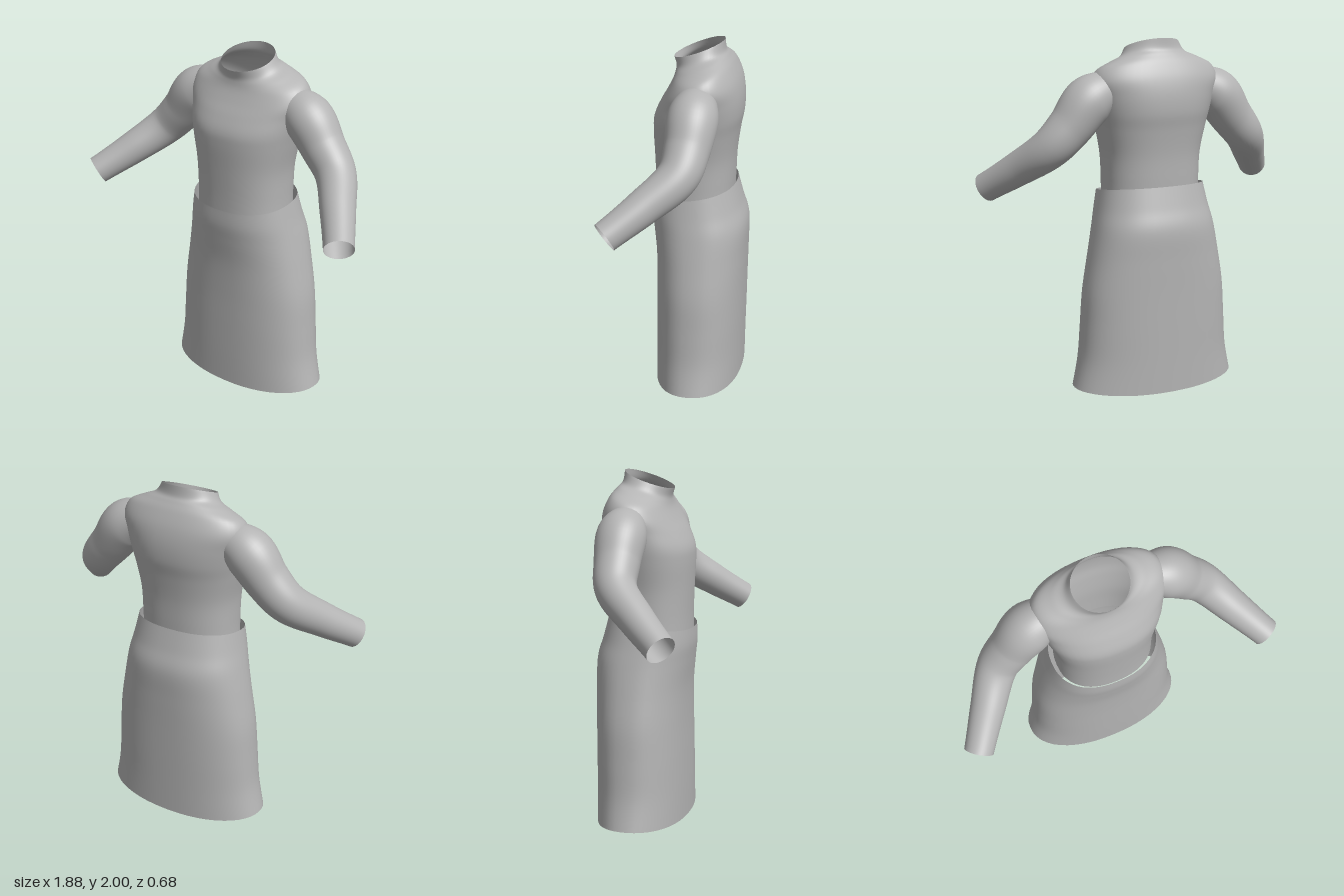
import * as THREE from 'three';

const SIDES = 48;

// Smooth interpolation of every column in a table of section values
function sample(rows, t) {
  const f = t * (rows.length - 1);
  const i = Math.min(Math.floor(f), rows.length - 2);
  const u = f - i;
  const at = (k) => rows[Math.max(0, Math.min(rows.length - 1, k))];
  return rows[i].map((_, c) => {
    const [a, b, d, e] = [at(i - 1)[c], at(i)[c], at(i + 1)[c], at(i + 2)[c]];
    return b + 0.5 * u * (d - a + u * (2 * a - 5 * b + 4 * d - e + u * (3 * (b - d) + e - a)));
  });
}

// Open tube surface from rings; point(t, angle) gives a Vector3
function loft(steps, point) {
  const pos = [], index = [];
  for (let i = 0; i <= steps; i++) {
    for (let j = 0; j < SIDES; j++) {
      pos.push(...point(i / steps, (j / SIDES) * Math.PI * 2).toArray());
      if (i === steps) continue;
      const a = i * SIDES + j, b = i * SIDES + ((j + 1) % SIDES);
      index.push(a, a + SIDES, b, b, a + SIDES, b + SIDES);
    }
  }
  const g = new THREE.BufferGeometry();
  g.setAttribute('position', new THREE.Float32BufferAttribute(pos, 3));
  g.setIndex(index);
  g.computeVertexNormals();
  return g;
}

// Body sections: [front y, front z, back y, back z, half width, roundness, side lift]
function bodyLoft(rows, steps) {
  return loft(steps, (t, a) => {
    const [yF, zF, yB, zB, w, n, lift] = sample(rows, t);
    const c = Math.cos(a), s = Math.sin(a);
    const px = Math.sign(c) * Math.pow(Math.abs(c), 2 / n);
    const pz = Math.sign(s) * Math.pow(Math.abs(s), 2 / n);
    const k = (pz + 1) / 2;
    return new THREE.Vector3(w * px, yB + (yF - yB) * k + lift * px * px, zB + (zF - zB) * k);
  });
}

export function createModel() {
  const group = new THREE.Group();
  const cloth = new THREE.MeshStandardMaterial({ color: 0xb4b4b4, side: THREE.DoubleSide });
  cloth.name = 'grey cloth';
  const add = (name, geometry) => {
    const mesh = new THREE.Mesh(geometry, cloth);
    mesh.name = name;
    group.add(mesh);
  };

  // Skirt, hem to waistband
  add('skirt', bodyLoft([
    [0.005, 0.18, 0.01, -0.315, 0.49, 2.2, 0.025],
    [0.19, 0.18, 0.19, -0.318, 0.455, 2.25, 0.01],
    [0.39, 0.178, 0.39, -0.322, 0.438, 2.3, 0],
    [0.59, 0.176, 0.59, -0.326, 0.422, 2.3, 0],
    [0.78, 0.18, 0.78, -0.331, 0.388, 2.3, 0],
    [0.93, 0.196, 0.95, -0.333, 0.355, 2.3, 0],
    [1.03, 0.207, 1.07, -0.3, 0.33, 2.3, 0],
    [1.12, 0.205, 1.19, -0.268, 0.308, 2.3, 0.005],
  ], 42));

  // Bodice, waist to open collar
  add('bodice', bodyLoft([
    [1.08, 0.188, 1.12, -0.252, 0.28, 2.3, 0],
    [1.2, 0.188, 1.22, -0.256, 0.28, 2.3, 0],
    [1.35, 0.192, 1.36, -0.262, 0.287, 2.3, 0],
    [1.5, 0.197, 1.5, -0.28, 0.315, 2.3, 0],
    [1.58, 0.19, 1.6, -0.298, 0.335, 2.3, 0],
    [1.66, 0.155, 1.7, -0.298, 0.355, 2.3, 0],
    [1.73, 0.115, 1.79, -0.28, 0.375, 2.3, 0],
    [1.79, 0.085, 1.87, -0.245, 0.345, 2.2, 0],
    [1.83, 0.074, 1.915, -0.215, 0.26, 2.1, 0],
    [1.86, 0.074, 1.945, -0.196, 0.19, 2, 0],
    [1.9, 0.088, 2.0, -0.19, 0.155, 2, 0],
  ], 60));

  // Sleeves, shoulder to cuff: [x, y, z, radius]
  const arm = [
    [0.25, 1.74, -0.09, 0.1],
    [0.39, 1.67, -0.085, 0.137],
    [0.5, 1.535, -0.075, 0.124],
    [0.605, 1.42, -0.045, 0.112],
    [0.735, 1.29, 0.11, 0.096],
    [0.868, 1.165, 0.283, 0.082],
  ];
  for (const [name, side] of [['leftSleeve', 1], ['rightSleeve', -1]]) {
    const steps = 40;
    const path = new THREE.CatmullRomCurve3(arm.map(([x, y, z]) => new THREE.Vector3(side * x, y, z)));
    const spine = Array.from({ length: steps + 1 }, (_, i) => path.getPoint(i / steps));
    add(name, loft(steps, (t, a) => {
      const tangent = path.getTangent(t);
      const normal = new THREE.Vector3(0, 0, 1).cross(tangent).normalize();
      const binormal = tangent.clone().cross(normal);
      const r = sample(arm, t)[3];
      return spine[Math.round(t * steps)].clone()
        .addScaledVector(normal, r * Math.cos(a))
        .addScaledVector(binormal, -r * Math.sin(a));
    }));
  }
  return group;
}
